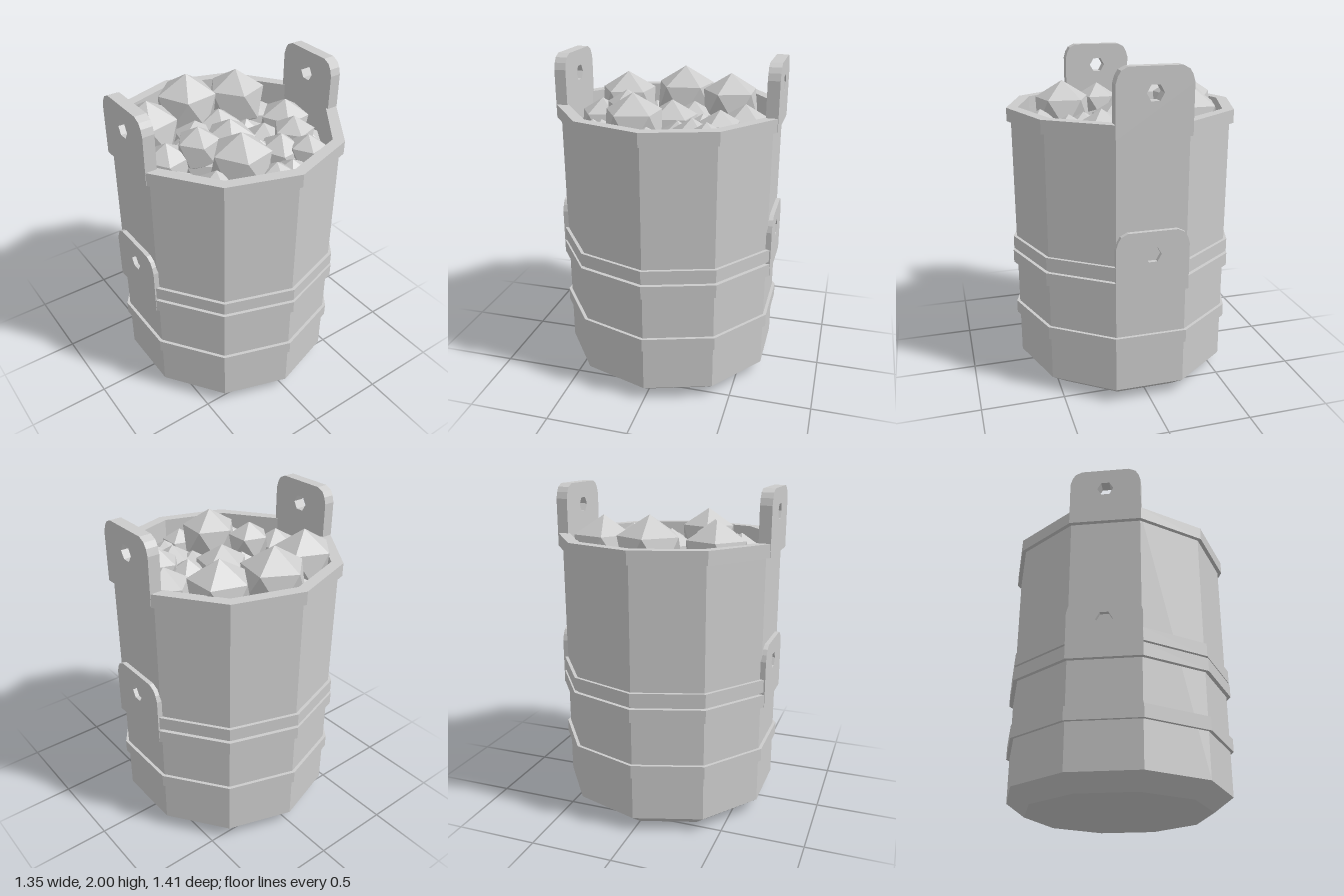
import * as THREE from 'three';

const SIDES = 10;

export function createModel() {
  const model = new THREE.Group();
  const mat = new THREE.MeshStandardMaterial({ color: 0xcccccc, flatShading: true });
  const add = (name, geometry, parent = model) => {
    const mesh = new THREE.Mesh(geometry, mat);
    mesh.name = name;
    parent.add(mesh);
    return mesh;
  };
  // ten-sided ring or vessel from [radius, height] pairs
  const lathe = (points) =>
    new THREE.LatheGeometry(points.map(([r, y]) => new THREE.Vector2(r, y)), SIDES);

  // bucket: chamfered foot, straight wall, hollow top
  add('bucket', lathe([
    [0, 0], [0.565, 0], [0.68, 0.085], [0.68, 1.69],
    [0.635, 1.69], [0.635, 1.42], [0, 1.42],
  ]));

  // rim and hoops
  const hoop = (name, bottom, outer, inner) => {
    const top = bottom + 0.08;
    add(name, lathe([[inner, bottom], [outer, bottom], [outer, top], [inner, top], [inner, bottom]]));
  };
  hoop('rim', 1.62, 0.705, 0.635);
  hoop('upperHoop', 0.81, 0.7, 0.67);
  hoop('middleHoop', 0.715, 0.705, 0.67);
  hoop('lowerHoop', 0.36, 0.7, 0.67);

  // lug plate with rounded top corners and a six-sided hole
  const lug = (bottom, top, holeY, x0, x1) => {
    const w = 0.218;
    const corner = [[w, top - 0.09], [w - 0.012, top - 0.05], [w - 0.03, top - 0.02], [w - 0.07, top]];
    const outline = [
      [-w, bottom], [w, bottom], ...corner,
      ...corner.slice().reverse().map(([x, y]) => [-x, y]),
    ];
    const shape = new THREE.Shape(outline.map(([x, y]) => new THREE.Vector2(x, y)));
    const hole = [];
    for (let i = 0; i < 6; i++) {
      const a = -i * Math.PI / 3;
      hole.push(new THREE.Vector2(0.05 * Math.cos(a), holeY + 0.05 * Math.sin(a)));
    }
    shape.holes.push(new THREE.Path(hole));
    return new THREE.ExtrudeGeometry(shape, { depth: x1 - x0, bevelEnabled: false })
      .translate(0, 0, x0).rotateY(Math.PI / 2);
  };
  for (const [side, turn] of [['left', 0], ['right', Math.PI]]) {
    add(side + 'HandleLug', lug(1.62, 2.0, 1.86, 0.602, 0.673)).rotation.y = turn;
    add(side + 'LowerLug', lug(0.715, 1.09, 0.95, 0.63, 0.673)).rotation.y = turn;
  }

  // rocks stand on a corner so a five-sided peak points up
  const stone = new THREE.IcosahedronGeometry(1, 0)
    .rotateX(-Math.atan((1 + Math.sqrt(5)) / 2)).rotateY(Math.PI);
  const heap = new THREE.Group();
  heap.name = 'rocks';
  model.add(heap);
  const addRock = (x, z, r, peak, turn) => {
    const rock = add('rock', stone, heap);
    rock.scale.setScalar(r);
    rock.position.set(x, peak - r, z);
    rock.rotation.y = turn;
  };

  // large rocks on top of the heap: x, z, radius, peak height
  const topRocks = [
    [-0.02, -0.41, 0.21, 1.86], [-0.375, -0.28, 0.2, 1.83], [0.3, -0.33, 0.2, 1.84],
    [0.005, 0.025, 0.175, 1.73], [-0.14, 0.34, 0.19, 1.83], [-0.26, 0.09, 0.14, 1.79],
    [0.45, -0.01, 0.17, 1.72], [-0.44, 0.04, 0.15, 1.72], [0.34, 0.21, 0.14, 1.73],
    [0.19, 0.28, 0.15, 1.69], [0.3, 0.39, 0.12, 1.7], [-0.015, 0.5, 0.12, 1.68],
  ];
  topRocks.forEach(([x, z, r, peak], i) => addRock(x, z, r, peak, 0.13 + (i % 3) * 0.1));

  // smaller rocks fill the gaps in two uneven rings
  const ring = (count, radius, size, peak) => {
    for (let i = 0; i < count; i++) {
      const a = (i + 0.5) / count * Math.PI * 2;
      const wobble = Math.sin(i * 2.4);
      addRock(radius * Math.sin(a), radius * Math.cos(a), size + 0.012 * wobble, peak + 0.03 * wobble, i * 0.5);
    }
  };
  ring(13, 0.49, 0.145, 1.64);
  ring(8, 0.23, 0.155, 1.65);
  return model;
}
